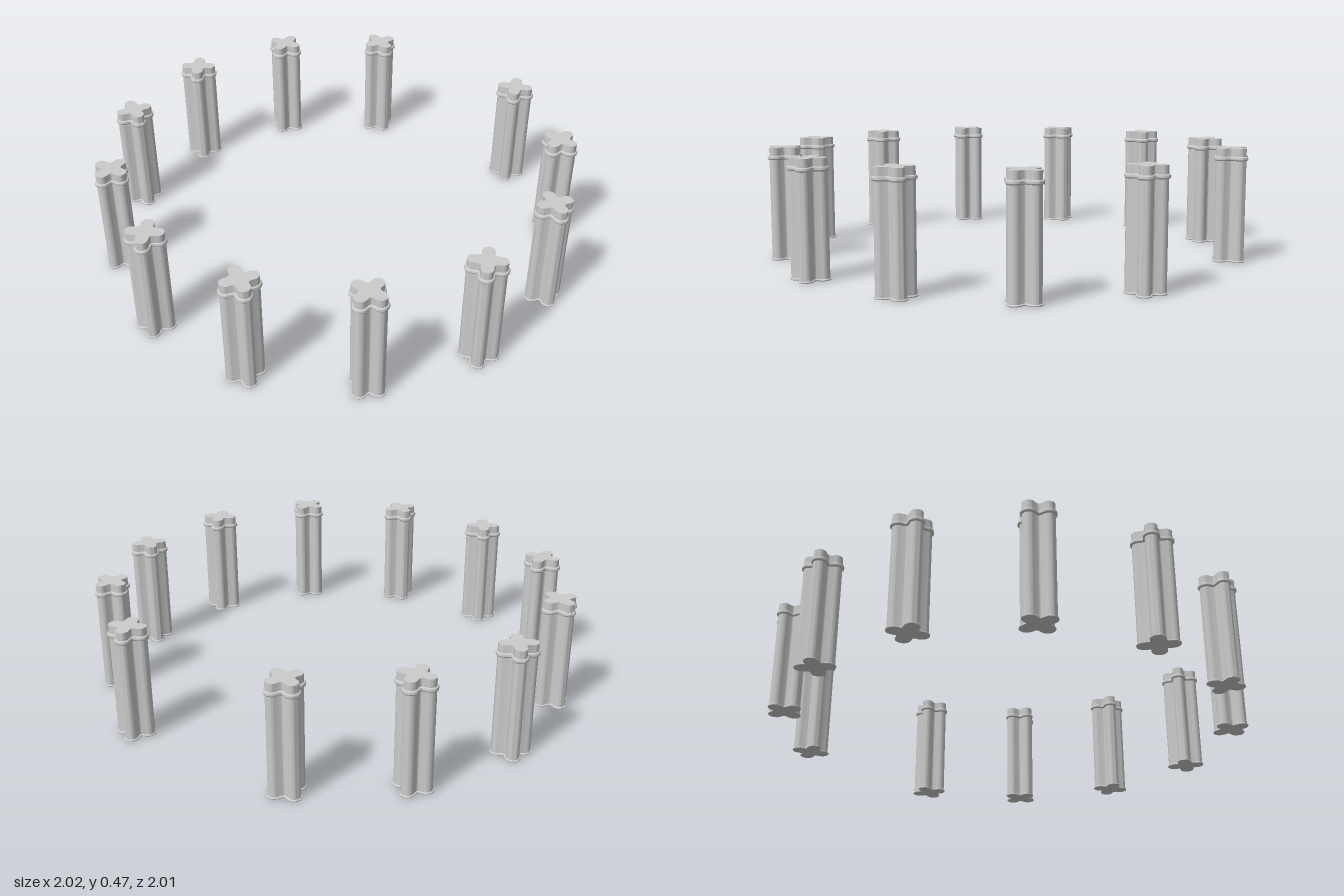
import * as THREE from 'three';
import { toCreasedNormals } from 'three/addons/utils/BufferGeometryUtils.js';

const LOBE = 0.025;    // half width of each arm, and radius of its rounded end
const REACH = 0.052;   // distance from the axis to the centre of a rounded end
const FILLET = 0.012;  // radius of the inner corners
const HEIGHT = 0.475;

// Cross-shaped plan with four rounded arms and filleted inner corners
function crossShape() {
  const shape = new THREE.Shape();
  const corner = LOBE + FILLET;
  for (let i = 0; i < 4; i++) {
    const a = i * Math.PI / 2, c = Math.cos(a), s = Math.sin(a);
    const at = (x, y) => [x * c - y * s, x * s + y * c];
    shape.absarc(...at(REACH, 0), LOBE, a - Math.PI / 2, a + Math.PI / 2, false);
    shape.absarc(...at(corner, corner), FILLET, a - Math.PI / 2, a - Math.PI, true);
  }
  shape.closePath();
  return shape;
}

// Upright slab of the cross plan from y0 to y1, with an optional rounded outward rim
function slab(y0, y1, rim = 0, round = 0) {
  const geo = new THREE.ExtrudeGeometry(crossShape(), {
    depth: y1 - y0 - 2 * round, curveSegments: 10,
    bevelEnabled: rim > 0, bevelSize: rim, bevelThickness: round, bevelSegments: 3,
  });
  geo.rotateX(-Math.PI / 2);
  geo.translate(0, y0 + round, 0);
  return toCreasedNormals(geo, 0.7);
}

export function createModel() {
  const model = new THREE.Group();
  model.name = 'columnRing';
  const material = new THREE.MeshStandardMaterial({ color: 0xcccccc });

  const parts = {
    shaft: slab(0, HEIGHT),
    collar: slab(0.424, 0.442, 0.007, 0.007),
    foot: slab(0, 0.008, 0.005, 0.003),
  };

  // Twelve columns evenly spaced round a circle, with a wider gap at the back left
  const radius = 0.947, step = 28.47, start = 14.2;
  for (let k = -8; k <= 3; k++) {
    const angle = THREE.MathUtils.degToRad(start + k * step);
    const column = new THREE.Group();
    column.name = `column${k + 9}`;
    for (const [name, geometry] of Object.entries(parts)) {
      const mesh = new THREE.Mesh(geometry, material);
      mesh.name = name;
      column.add(mesh);
    }
    column.position.set(radius * Math.sin(angle) - 0.005, 0, radius * Math.cos(angle) + 0.002);
    column.rotation.y = angle + Math.PI / 4; // arms lie diagonal to the centre
    model.add(column);
  }
  return model;
}
